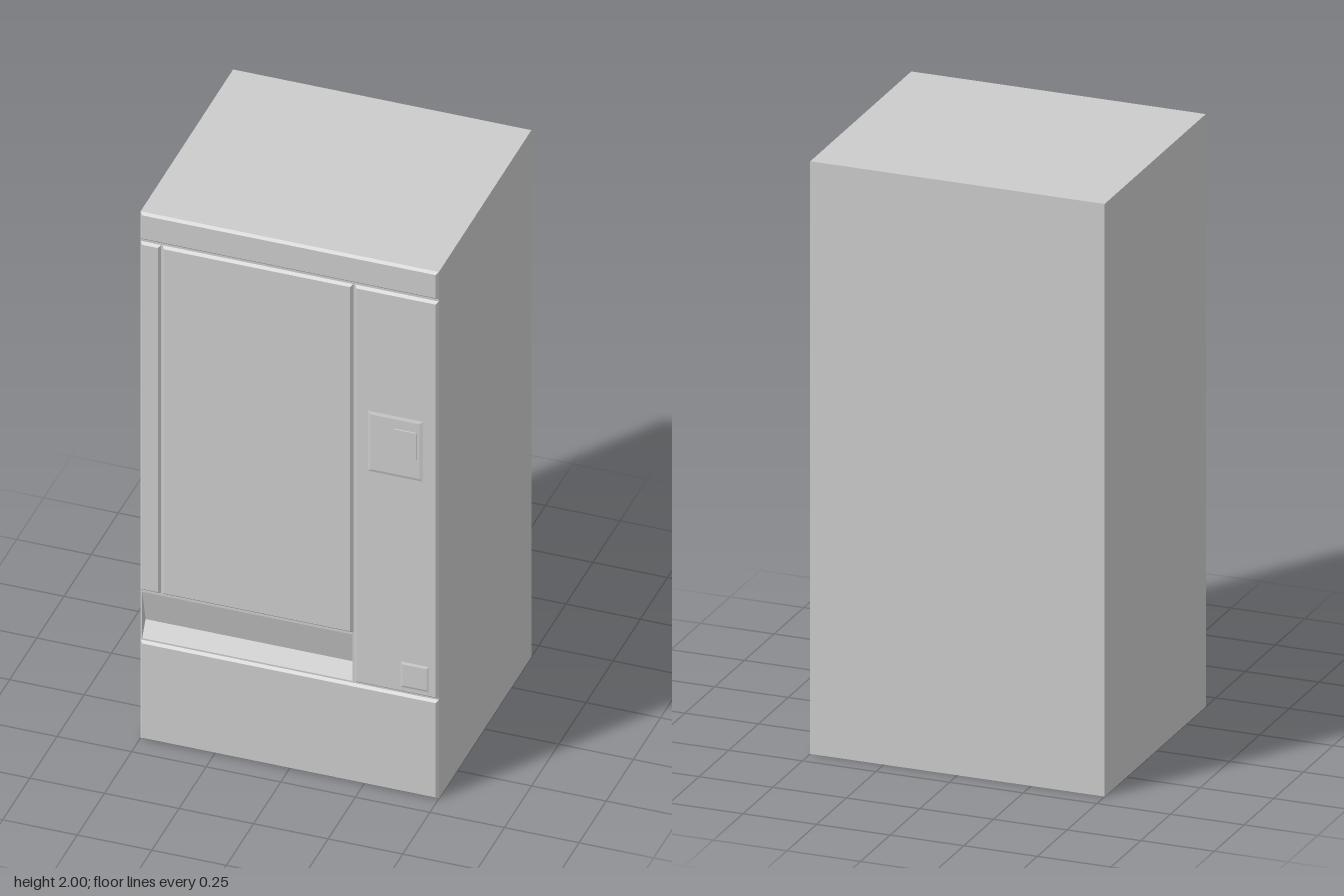
import * as THREE from 'three';

const grey = new THREE.MeshStandardMaterial({ color: 0xcccccc, side: THREE.DoubleSide });
grey.name = 'light grey';

const SHEET = 0.417, FACE = 0.426, BACK = -0.434;

// Plate between two corners, its front edges chamfered by insetting the front face
function plate(name, x0, x1, y0, y1, z0, z1, bevel) {
  const g = new THREE.BoxGeometry(x1 - x0, y1 - y0, z1 - z0);
  const p = g.attributes.position;
  for (let i = 0; i < p.count; i++) {
    if (p.getZ(i) > 0) {
      p.setX(i, p.getX(i) - Math.sign(p.getX(i)) * bevel);
      p.setY(i, p.getY(i) - Math.sign(p.getY(i)) * bevel);
    }
  }
  g.computeVertexNormals();
  g.translate((x0 + x1) / 2, (y0 + y1) / 2, (z0 + z1) / 2);
  return named(name, g);
}

function named(name, geometry) {
  const m = new THREE.Mesh(geometry, grey);
  m.name = name;
  return m;
}

function rect(path, x0, x1, y0, y1) {
  path.moveTo(x0, y0).lineTo(x1, y0).lineTo(x1, y1).lineTo(x0, y1).closePath();
  return path;
}

export function createModel() {
  const group = new THREE.Group();
  group.name = 'vendingMachine';
  const depth = SHEET - BACK, midZ = (SHEET + BACK) / 2;

  // Hollow cabinet, open underneath
  const back = named('backWall', new THREE.PlaneGeometry(1, 2).rotateY(Math.PI));
  back.position.set(0, 1, BACK);
  const top = named('topWall', new THREE.PlaneGeometry(1, depth).rotateX(-Math.PI / 2));
  top.position.set(0, 2, midZ);
  group.add(back, top);
  for (const s of [1, -1]) {
    const side = named(s > 0 ? 'leftWall' : 'rightWall',
      new THREE.PlaneGeometry(depth, 2).rotateY(s * Math.PI / 2));
    side.position.set(s * 0.5, 1, midZ);
    group.add(side);
  }

  // Front sheet with the opening for the delivery tray
  const tx0 = -0.495, tx1 = 0.21, ty0 = 0.38, ty1 = 0.556;
  const sheet = rect(new THREE.Shape(), -0.5, 0.5, 0, 2);
  sheet.holes.push(rect(new THREE.Path(), tx0, tx1, ty0, ty1));
  const front = named('frontSheet', new THREE.ShapeGeometry(sheet));
  front.position.z = SHEET;
  group.add(front);

  // V-shaped delivery tray: upper flap, lower slope and two end caps
  const section = [[ty1, SHEET], [0.432, 0.385], [ty0, SHEET]];
  const verts = section.flatMap(([y, z]) => [tx0, y, z, tx1, y, z]);
  const tray = new THREE.BufferGeometry();
  tray.setAttribute('position', new THREE.Float32BufferAttribute(verts, 3));
  tray.setIndex([0, 2, 1, 1, 2, 3, 2, 4, 3, 3, 4, 5, 0, 4, 2, 1, 3, 5]);
  const flat = tray.toNonIndexed();
  flat.computeVertexNormals();
  group.add(named('deliveryTray', flat));

  // Shelf inside, above the tray
  const shelf = named('innerShelf', new THREE.PlaneGeometry(0.64, 0.2).rotateX(Math.PI / 2));
  shelf.position.set(-0.11, 0.565, SHEET - 0.1);
  group.add(shelf);

  // Chamfered front panels with grooves between them
  const panels = [
    ['headerPanel', -0.5, 0.5, 1.896, 2],
    ['edgeStrip', -0.5, -0.431, 0.565, 1.888],
    ['displayWindow', -0.427, 0.213, 0.565, 1.888],
    ['controlPanel', 0.219, 0.5, 0.38, 1.888],
    ['basePanel', -0.5, 0.5, 0, 0.374],
  ];
  for (const [name, x0, x1, y0, y1] of panels)
    group.add(plate(name, x0, x1, y0, y1, SHEET, FACE, 0.008));

  // Payment plate with raised block, and the coin return
  group.add(
    plate('paymentPlate', 0.265, 0.45, 1.197, 1.425, FACE, FACE + 0.003, 0.01),
    plate('paymentBlock', 0.355, 0.43, 1.28, 1.38, FACE, 0.434, 0),
    plate('coinReturn', 0.375, 0.47, 0.402, 0.498, FACE, FACE + 0.003, 0.008),
  );
  return group;
}
